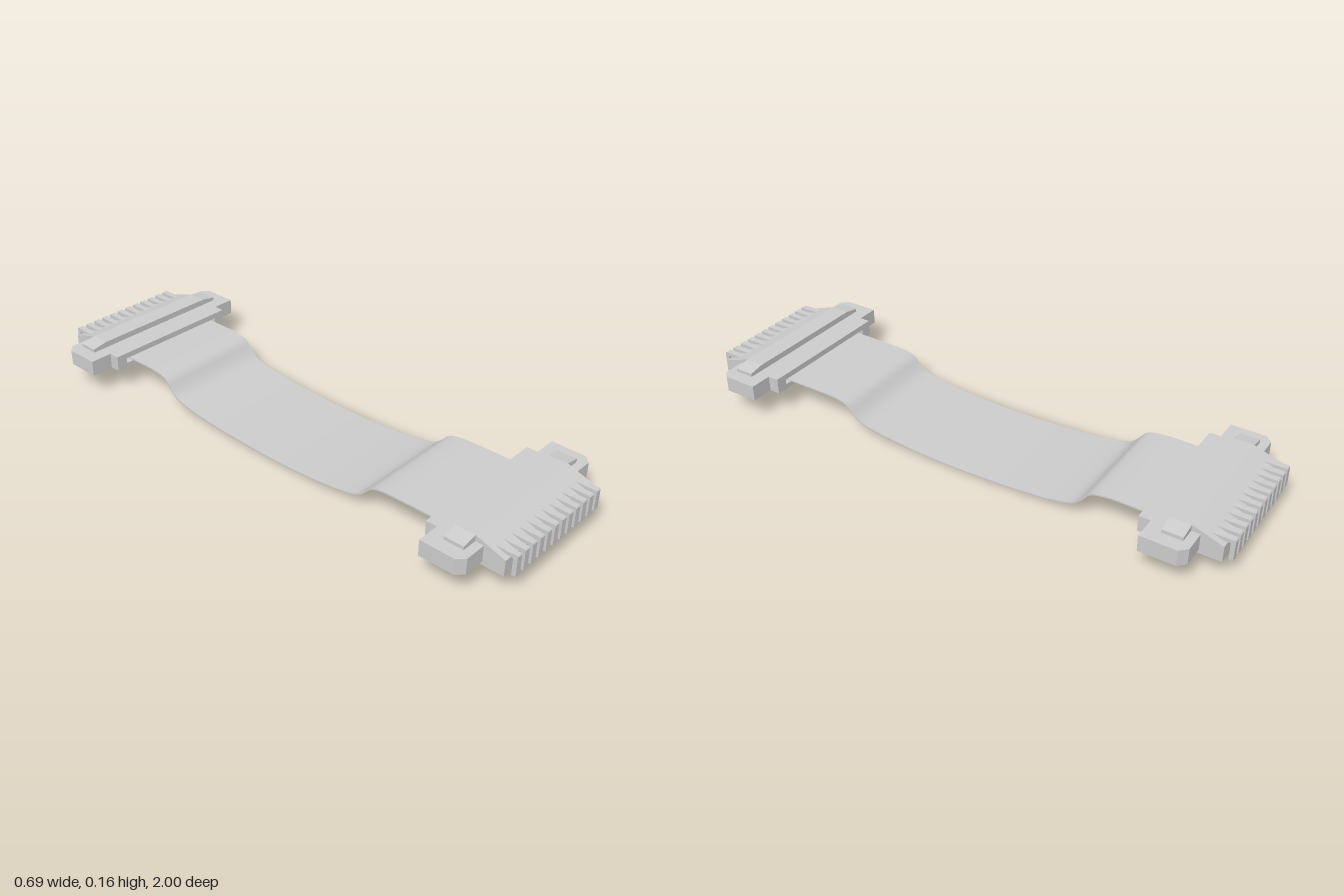
import * as THREE from 'three';

const material = new THREE.MeshStandardMaterial({ color: 0xcccccc, flatShading: true });
const smooth = new THREE.MeshStandardMaterial({ color: 0xcccccc, side: THREE.DoubleSide });

const toShape = (pts) => new THREE.Shape(pts.map(([x, y]) => new THREE.Vector2(x, y)));
// Closes a half outline by mirroring it across x = 0
const mirrorX = (half) => [...half, ...half.map(([x, y]) => [-x, y]).reverse()];
const extrude = (shape, depth) =>
  new THREE.ExtrudeGeometry(shape, { depth, bevelEnabled: false });

function add(group, name, geometry, mat = material) {
  const mesh = new THREE.Mesh(geometry, mat);
  mesh.name = name;
  group.add(mesh);
  return mesh;
}

// Plan outline (x, z) extruded downwards from yTop to yBottom
const slab = (shape, yBottom, yTop) =>
  extrude(shape, yTop - yBottom).rotateX(Math.PI / 2).translate(0, yTop, 0);

// Side profile (z, y) extruded across x, centred on x
const across = (pts, width, x = 0) =>
  extrude(toShape(pts), width).rotateY(-Math.PI / 2).translate(x + width / 2, 0, 0);

function createConnector() {
  const g = new THREE.Group();

  // Housing: wide block with sloped shoulders, then the sloping nose
  const block = mirrorX([[0.297, 0.073], [0.297, 0.155], [0.242, 0.165]]);
  add(g, 'housingBlock', extrude(toShape(block), 0.07).translate(0, 0, 0.8));
  add(g, 'housingNose',
    across([[0.87, 0.073], [0.975, 0.073], [0.975, 0.13], [0.87, 0.165]], 0.484));

  // Latch: plate with chamfered ears, cable slot and open underside
  const ears = [[0.345, 0.75], [0.345, 0.875], [0.32, 0.9], [0.242, 0.9]];
  const outline = mirrorX([[0.262, 0.71], [0.262, 0.75], ...ears]);
  add(g, 'latchTop', slab(toShape(outline), 0.122, 0.143));

  const slotted = mirrorX([[0.22, 0.8], [0.22, 0.71], [0.262, 0.71], [0.262, 0.75], ...ears]);
  add(g, 'latchSides', slab(toShape(slotted), 0.103, 0.122));

  const lip = toShape(outline);
  lip.holes.push(toShape([[-0.22, 0.745], [-0.22, 0.8], [0.22, 0.8], [0.22, 0.745]]));
  add(g, 'latchLip', slab(lip, 0.086, 0.103));

  // Row of bent contact pins
  const pins = new THREE.Group();
  pins.name = 'contactPins';
  const bent = [[0.915, 0.134], [0.985, 0.134], [0.985, 0.073], [1, 0.073],
    [1, 0.143], [0.996, 0.147], [0.915, 0.147]];
  for (let i = 0; i < 12; i++) add(pins, 'pin', across(bent, 0.022, (i - 5.5) * 0.0382));
  g.add(pins);
  return g;
}

// Flat ribbon: a sagging curve (z, y) swept across x with a thin thickness
function createCable() {
  const path = [[0.8, 0.112], [0.7, 0.112], [0.58, 0.111], [0.49, 0.107], [0.45, 0.095],
    [0.425, 0.07], [0.395, 0.047], [0.3, 0.025], [0.15, 0.011], [0, 0.006], [-0.15, 0.009],
    [-0.29, 0.017], [-0.4, 0.03], [-0.46, 0.047], [-0.49, 0.073], [-0.515, 0.102],
    [-0.57, 0.115], [-0.7, 0.116], [-0.8, 0.114]];
  const curve = new THREE.CatmullRomCurve3(path.map(([z, y]) => new THREE.Vector3(0, y, z)));
  const n = 100;
  const geo = new THREE.BoxGeometry(0.406, 0.005, 1, 1, 1, n);
  const pos = geo.attributes.position;
  const side = new THREE.Vector3(1, 0, 0);
  for (let i = 0; i < pos.count; i++) {
    const t = 0.5 - pos.getZ(i);
    const up = curve.getTangentAt(t).cross(side).negate();
    if (up.y < 0) up.negate();
    const p = curve.getPointAt(t).addScaledVector(up, pos.getY(i));
    pos.setXYZ(i, pos.getX(i), Math.max(0, p.y), p.z);
  }
  geo.computeVertexNormals();
  return geo;
}

export function createModel() {
  const model = new THREE.Group();
  model.name = 'ribbonCable';
  add(model, 'cable', createCable(), smooth);

  const front = createConnector();
  front.name = 'frontConnector';
  const back = createConnector();
  back.name = 'backConnector';
  back.rotation.y = Math.PI;
  model.add(front, back);
  return model;
}
